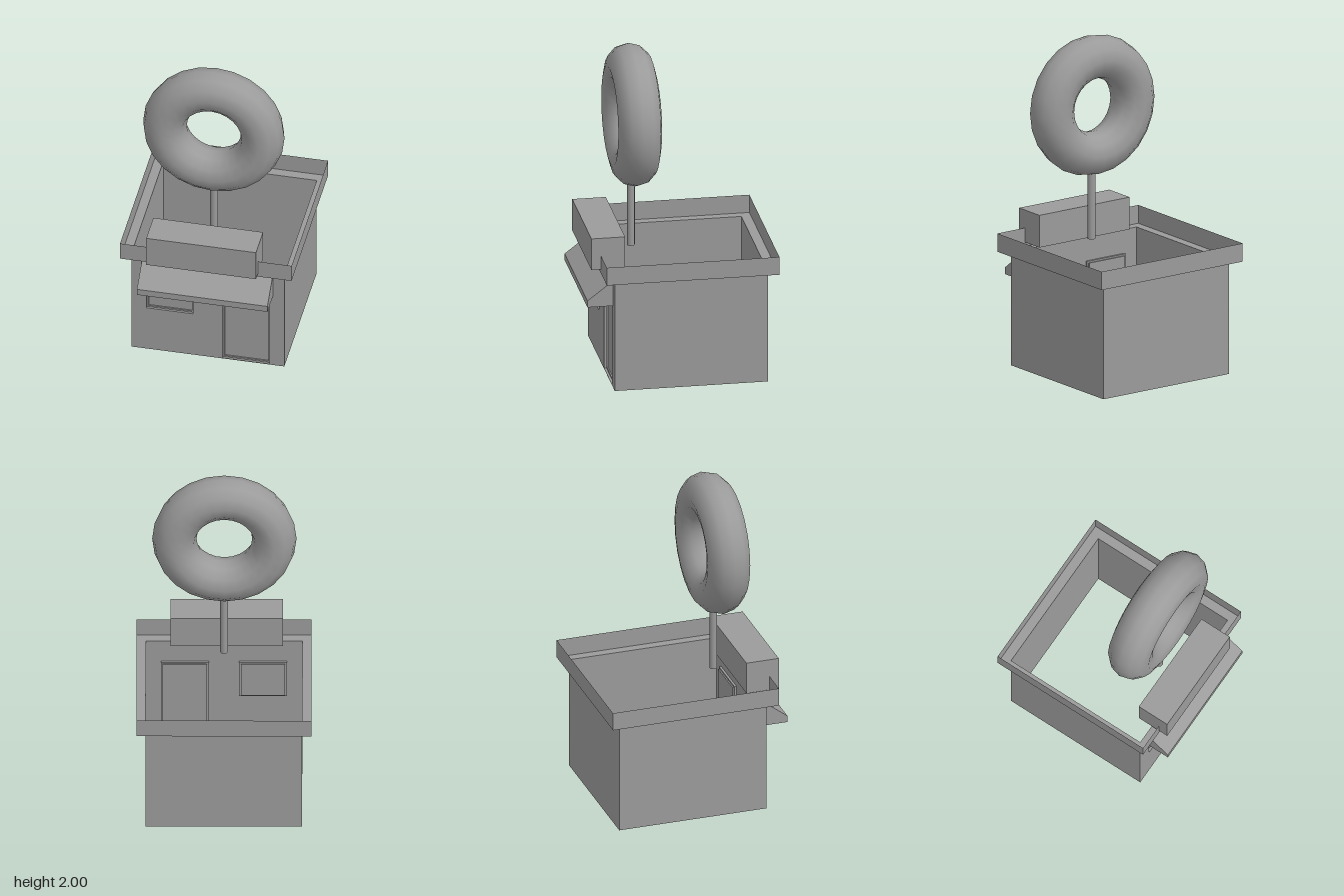
import * as THREE from 'three';

const solid = new THREE.MeshStandardMaterial({ color: 0x9b9b9b });
const sheet = new THREE.MeshStandardMaterial({ color: 0x9b9b9b, side: THREE.DoubleSide });

// Rectangle outline in a plane facing the front (anticlockwise)
const faceRect = (x0, x1, y0, y1, z) =>
  [[x0, y0, z], [x1, y0, z], [x1, y1, z], [x0, y1, z]];

// Rectangle outline on the ground plan at height y
const planRect = (x, z0, z1, y) =>
  [[-x, y, z1], [x, y, z1], [x, y, z0], [-x, y, z0]];

// Flat-shaded bands joining successive four-cornered loops
function bands(loops, { skip = () => false, cap = false }) {
  const pos = [];
  const quad = (a, b, c, d) => pos.push(...a, ...b, ...c, ...a, ...c, ...d);
  for (let i = 0; i < loops.length - 1; i++) {
    for (let k = 0; k < 4; k++) {
      if (skip(i, k)) continue;
      const n = (k + 1) % 4;
      quad(loops[i][k], loops[i][n], loops[i + 1][n], loops[i + 1][k]);
    }
  }
  if (cap) quad(...loops[loops.length - 1]);
  const g = new THREE.BufferGeometry();
  g.setAttribute('position', new THREE.Float32BufferAttribute(pos, 3));
  g.computeVertexNormals();
  return g;
}

export function createModel() {
  const group = new THREE.Group();
  group.name = 'doughnutShop';
  const add = (name, geometry, material, x = 0, y = 0, z = 0) => {
    const mesh = new THREE.Mesh(geometry, material);
    mesh.name = name;
    mesh.position.set(x, y, z);
    group.add(mesh);
    return mesh;
  };

  const W = 0.465, BACK = -0.51, FRONT = 0.415, EAVE = 0.697;

  // Open shell: side and back walls, ledge and thin parapet
  add('wallsAndParapet', bands([
    planRect(W, BACK, FRONT, 0),
    planRect(W, BACK, FRONT, EAVE),
    planRect(0.521, -0.568, 0.473, EAVE),
    planRect(0.521, -0.568, 0.473, 0.81),
  ], { skip: (i, k) => i === 0 && k === 0 }), sheet);

  // Front wall with openings for the window and door
  const openings = {
    window: [-0.373, -0.09, 0.306, 0.55],
    door: [0.09, 0.375, 0.004, 0.55],
  };
  const outline = (x0, x1, y0, y1, Type) =>
    new Type(faceRect(x0, x1, y0, y1, 0).map(([x, y]) => new THREE.Vector2(x, y)));
  const wall = outline(-W, W, 0, EAVE, THREE.Shape);
  for (const o of Object.values(openings)) wall.holes.push(outline(...o, THREE.Path));
  add('frontWall', new THREE.ShapeGeometry(wall), sheet, 0, 0, FRONT);

  // Stepped recesses pushed into the front wall
  for (const [name, [x0, x1, y0, y1]] of Object.entries(openings)) {
    const t = 0.01;
    const inner = [x0 + t, x1 - t, y0 + t, y1 - t];
    add(name, bands([
      faceRect(x0, x1, y0, y1, FRONT),
      faceRect(x0, x1, y0, y1, 0.401),
      faceRect(...inner, 0.401),
      faceRect(...inner, 0.393),
    ], { cap: true }), sheet);
  }

  // Awning: wedge with a short front lip, extruded across the front
  const profile = new THREE.Shape([[0, 0.516], [0.153, 0.516], [0.153, 0.557], [0, 0.674]]
    .map(([z, y]) => new THREE.Vector2(z, y)));
  const awning = new THREE.ExtrudeGeometry(profile, { depth: 0.793, bevelEnabled: false });
  awning.rotateY(-Math.PI / 2);
  add('awning', awning, solid, 0.395, 0, FRONT);

  // Blank sign board straddling the parapet
  add('signBoard', new THREE.BoxGeometry(0.667, 0.199, 0.203), solid, -0.016, 0.821, 0.429);

  // Pole carrying the rooftop ring
  add('pole', new THREE.CylinderGeometry(0.024, 0.024, 0.45, 12), solid, 0, 0.97, 0.238);

  // Large ring, a vertex at the very top
  const ring = add('doughnut', new THREE.TorusGeometry(0.297, 0.132, 12, 24), solid, -0.002, 1.571, 0.232);
  ring.rotation.z = Math.PI / 2;

  return group;
}
